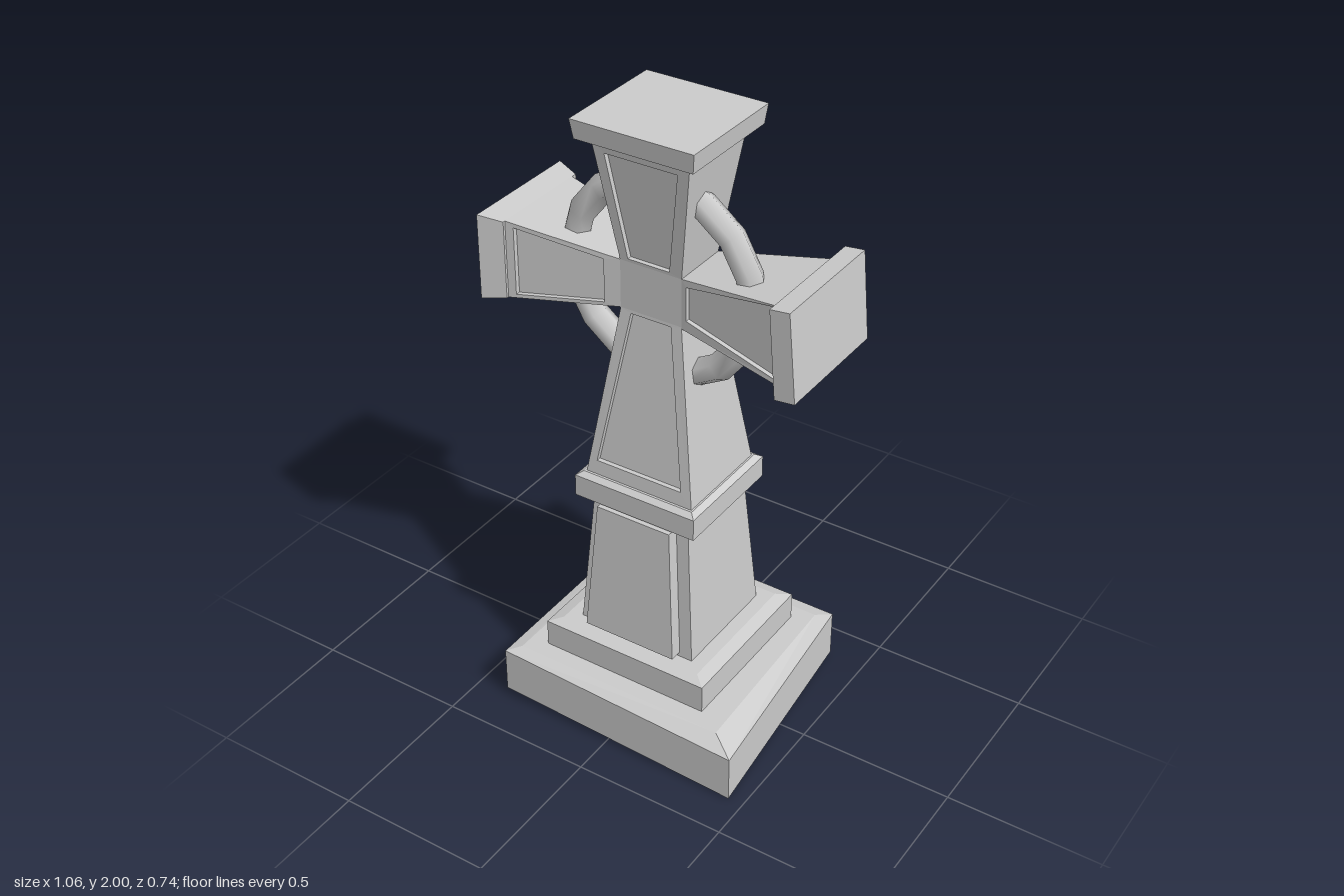
import * as THREE from 'three';

const stone = new THREE.MeshStandardMaterial({ color: 0xcccccc });
stone.name = 'stone';

// Closed solid through loops of four corners, flat faces
function loft(name, loops) {
  const pos = [];
  const quad = (a, b, c, d) => pos.push(...a, ...b, ...c, ...a, ...c, ...d);
  for (let k = 0; k < loops.length - 1; k++) {
    const a = loops[k], b = loops[k + 1];
    for (let i = 0; i < 4; i++) {
      const j = (i + 1) % 4;
      quad(a[i], a[j], b[j], b[i]);
    }
  }
  quad(...[...loops[0]].reverse());
  quad(...loops[loops.length - 1]);
  const geo = new THREE.BufferGeometry();
  geo.setAttribute('position', new THREE.Float32BufferAttribute(pos, 3));
  geo.computeVertexNormals();
  const mesh = new THREE.Mesh(geo, stone);
  mesh.name = name;
  return mesh;
}

// Horizontal rectangle at height y, for lofting upwards
const level = (y, x0, x1, z0, z1) => [[x0, y, z1], [x1, y, z1], [x1, y, z0], [x0, y, z0]];

// Block from front corners [x, y, zFront, zBack]; optional recess in the front face
function block(name, corners, recess, depth = 0.015) {
  const loops = [
    corners.map(([x, y, , zb]) => [x, y, zb]),
    corners.map(([x, y, zf]) => [x, y, zf]),
  ];
  if (recess) loops.push(recess, recess.map(([x, y, z]) => [x, y, z - depth]));
  return loft(name, loops);
}

export function createModel() {
  const group = new THREE.Group();
  group.name = 'stoneCross';

  // Worn, slightly skewed plinth with bevelled top
  group.add(loft('plinth', [
    [[-0.39, 0.025, 0.353], [0.45, 0, 0.367], [0.385, 0.02, -0.37], [-0.39, 0.03, -0.37]],
    [[-0.39, 0.178, 0.353], [0.45, 0.155, 0.367], [0.385, 0.178, -0.37], [-0.39, 0.18, -0.37]],
    [[-0.35, 0.19, 0.315], [0.37, 0.186, 0.315], [0.345, 0.188, -0.325], [-0.35, 0.19, -0.325]],
  ]));
  group.add(loft('step', [
    level(0.17, -0.29, 0.285, -0.275, 0.26),
    level(0.28, -0.29, 0.285, -0.275, 0.26),
    level(0.292, -0.25, 0.245, -0.235, 0.225),
  ]));

  // Lower shaft with a raised front slab
  group.add(loft('lowerShaft', [
    level(0.28, -0.207, 0.2, -0.197, 0.185),
    level(0.77, -0.17, 0.163, -0.16, 0.153),
  ]));
  group.add(block('frontSlab', [
    [-0.163, 0.307, 0.225, 0.17], [0.155, 0.307, 0.225, 0.17],
    [0.123, 0.75, 0.195, 0.14], [-0.133, 0.75, 0.195, 0.14],
  ]));
  group.add(loft('band', [
    level(0.76, -0.215, 0.205, -0.2, 0.19),
    level(0.832, -0.215, 0.205, -0.2, 0.19),
    level(0.845, -0.195, 0.187, -0.18, 0.172),
  ]));

  // Cross arms, each with a sunken front panel
  group.add(block('upperShaft', [
    [-0.19, 0.84, 0.165, -0.172], [0.182, 0.84, 0.165, -0.172],
    [0.1, 1.405, 0.095, -0.095], [-0.105, 1.405, 0.095, -0.095],
  ], [[-0.155, 0.89, 0.159], [0.14, 0.89, 0.159], [0.065, 1.395, 0.096], [-0.07, 1.395, 0.096]]));
  group.add(block('topArm', [
    [-0.105, 1.56, 0.095, -0.095], [0.1, 1.56, 0.095, -0.095],
    [0.155, 1.945, 0.142, -0.147], [-0.165, 1.945, 0.142, -0.147],
  ], [[-0.078, 1.57, 0.096], [0.06, 1.57, 0.096], [0.112, 1.9, 0.136], [-0.124, 1.9, 0.136]]));
  group.add(block('rightArm', [
    [-0.455, 1.357, 0.162, -0.167], [-0.105, 1.405, 0.095, -0.095],
    [-0.105, 1.56, 0.095, -0.095], [-0.455, 1.607, 0.162, -0.167],
  ], [[-0.43, 1.372, 0.157], [-0.155, 1.41, 0.105], [-0.155, 1.55, 0.105], [-0.43, 1.59, 0.157]]));
  group.add(block('leftArm', [
    [0.1, 1.4, 0.095, -0.095], [0.465, 1.355, 0.147, -0.16],
    [0.445, 1.61, 0.147, -0.16], [0.1, 1.56, 0.095, -0.095],
  ], [[0.117, 1.432, 0.098], [0.45, 1.37, 0.144], [0.425, 1.6, 0.141], [0.117, 1.54, 0.098]]));
  group.add(block('crossCentre', [
    [-0.105, 1.4, 0.095, -0.095], [0.1, 1.4, 0.095, -0.095],
    [0.1, 1.56, 0.095, -0.095], [-0.105, 1.56, 0.095, -0.095],
  ]));

  // End caps
  group.add(loft('topCap', [
    level(1.94, -0.196, 0.186, -0.185, 0.175),
    level(2, -0.205, 0.193, -0.193, 0.182),
  ]));
  group.add(block('rightCap', [
    [-0.53, 1.345, 0.195, -0.21], [-0.455, 1.357, 0.17, -0.185],
    [-0.455, 1.607, 0.17, -0.185], [-0.53, 1.62, 0.195, -0.21],
  ]));
  group.add(block('leftCap', [
    [0.462, 1.348, 0.195, -0.212], [0.526, 1.355, 0.195, -0.212],
    [0.501, 1.632, 0.195, -0.212], [0.439, 1.625, 0.195, -0.212],
  ]));

  // Ring behind the arms
  const ring = new THREE.Mesh(new THREE.TorusGeometry(0.302, 0.043, 6, 16), stone);
  ring.name = 'ring';
  ring.position.set(-0.005, 1.503, 0.034);
  ring.rotation.z = THREE.MathUtils.degToRad(18);
  group.add(ring);

  return group;
}
